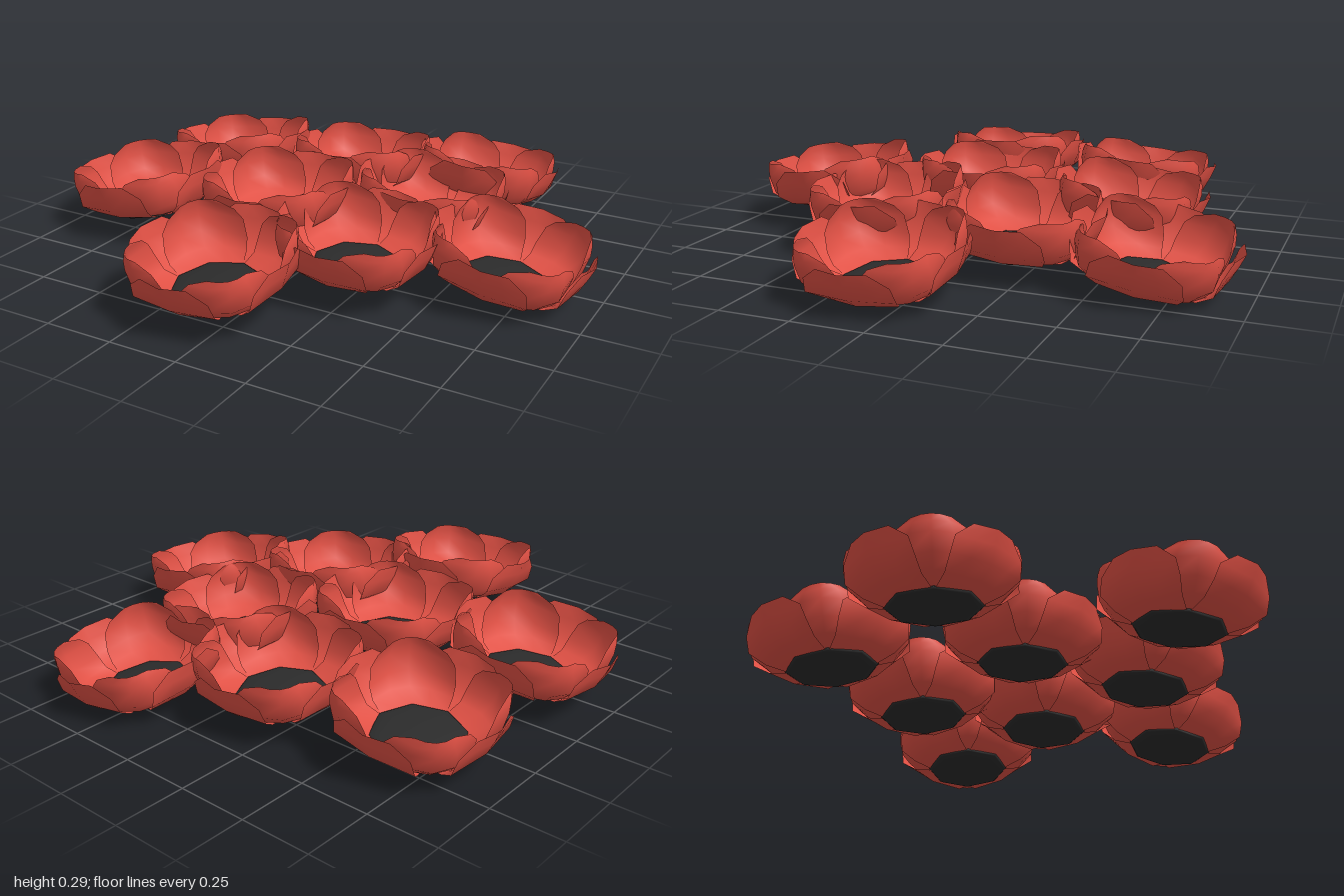
import * as THREE from 'three';

const petalMaterial = new THREE.MeshStandardMaterial({ color: 0xe05044, side: THREE.DoubleSide });
const heartMaterial = new THREE.MeshStandardMaterial({ color: 0x2b2b2b });

// Petal cross-sections from base to tip: [radius, height, half width, inward curl of the edges]
const INNER = [
  [0.145, 0.0, 0.105, 0.04],
  [0.225, 0.025, 0.13, 0.075],
  [0.268, 0.065, 0.14, 0.1],
  [0.281, 0.125, 0.136, 0.092],
  [0.281, 0.158, 0.112, 0.072],
  [0.276, 0.182, 0.06, 0.027],
];
const OUTER = [
  [0.142, -0.004, 0.102, 0.035],
  [0.205, 0.018, 0.13, 0.028],
  [0.248, 0.058, 0.155, 0.02],
  [0.27, 0.113, 0.145, 0.028],
  [0.285, 0.16, 0.085, 0.022],
];

// Petal growing towards +z; power 1 folds it along the middle, power 2 cups it
function petalGeometry(rows, power) {
  const columns = 4, positions = [], index = [];
  rows.forEach(([radius, height, half, curl], j) => {
    for (let i = 0; i <= columns; i++) {
      const s = (i / columns) * 2 - 1;
      positions.push(half * s, height, radius - curl * Math.abs(s) ** power);
      if (j > 0 && i > 0) {
        const d = j * (columns + 1) + i, c = d - 1;
        const b = d - columns - 1, a = b - 1;
        index.push(a, b, d, a, d, c);
      }
    }
  });
  const geometry = new THREE.BufferGeometry();
  geometry.setAttribute('position', new THREE.Float32BufferAttribute(positions, 3));
  geometry.setIndex(index);
  geometry.computeVertexNormals();
  return geometry;
}

// Flower centres [x, z]; the cluster spreads over a shallow dome
const CENTRES = [
  [-0.655, -0.38], [-0.147, -0.46], [0.3, -0.663],
  [0.265, -0.215], [0.683, 0.088], [-0.195, 0.086],
  [0.235, 0.297], [-0.705, 0.174], [-0.077, 0.663],
];

export function createModel() {
  const model = new THREE.Group();
  model.name = 'flowerCluster';
  const inner = petalGeometry(INNER, 2);
  const outer = petalGeometry(OUTER, 1);
  // Eight-sided flattened button with its corners between the inner petals
  const heart = new THREE.SphereGeometry(0.16, 8, 10).scale(1, 0.12, 1);

  CENTRES.forEach(([x, z], n) => {
    const flower = new THREE.Group();
    flower.name = `flower${n + 1}`;

    const button = new THREE.Mesh(heart, heartMaterial);
    button.name = 'flowerHeart';
    flower.add(button);

    for (let k = 0; k < 8; k++) {
      const isInner = k % 2 === 1;
      const petal = new THREE.Mesh(isInner ? inner : outer, petalMaterial);
      petal.name = isInner ? 'innerPetal' : 'outerPetal';
      petal.rotation.y = (k * Math.PI) / 4;
      flower.add(petal);
    }

    // Lean outwards and sink towards the rim of the dome
    const lean = new THREE.Vector3((x + 0.1) * 0.2, 1, (z - 0.05) * 0.2).normalize();
    flower.quaternion.setFromUnitVectors(new THREE.Vector3(0, 1, 0), lean);
    flower.position.set(x, 0.11 - 0.07 * ((x + 0.2) ** 2 + (z - 0.2) ** 2), z);
    model.add(flower);
  });
  return model;
}
